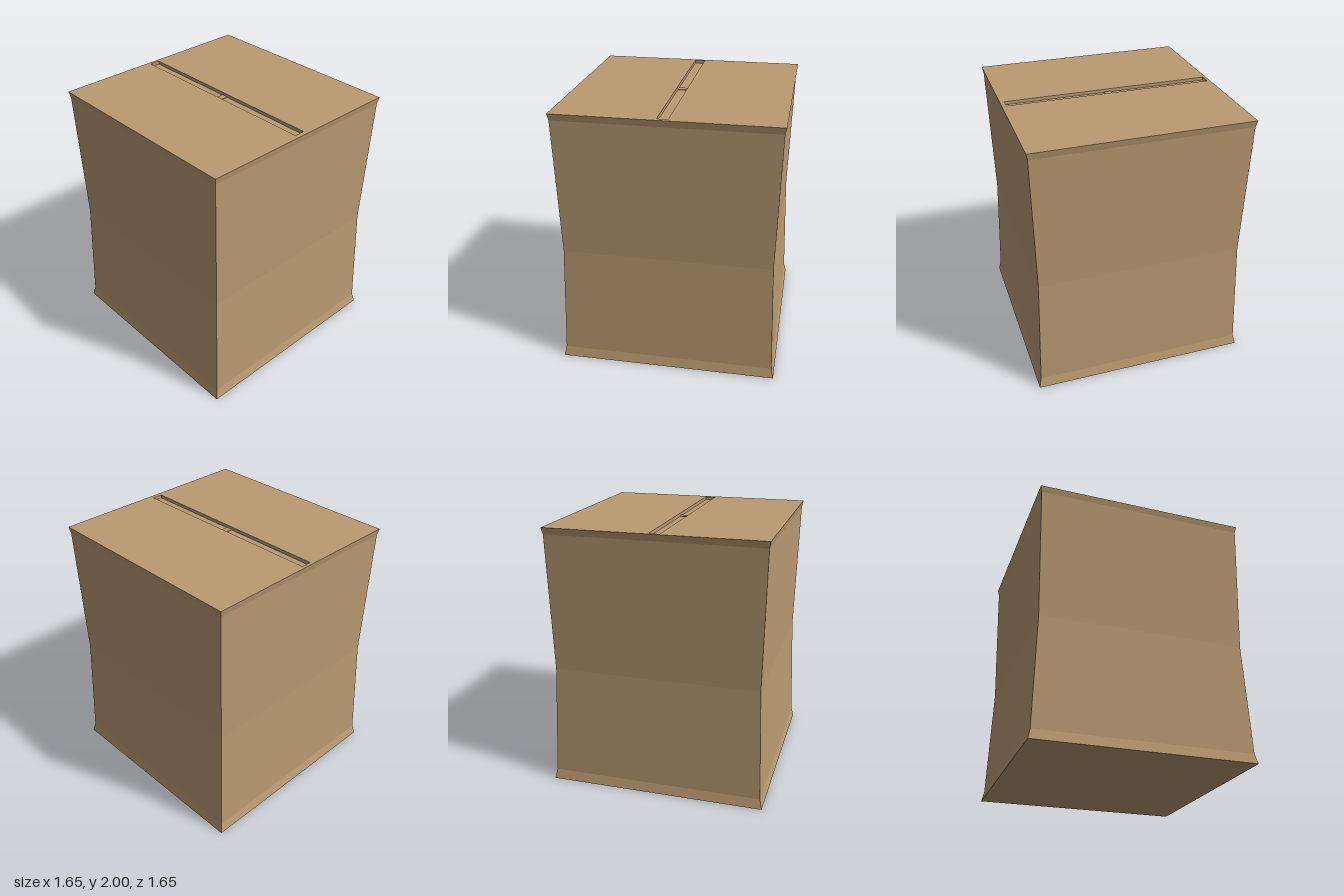
import * as THREE from 'three';

const HEIGHT = 2;
const SLOT = { x0: -0.055, x1: 0.025, z0: -0.79, z1: 0.78 };

// split vertices so every face keeps a hard edge
function faceted(geometry) {
  const flat = geometry.toNonIndexed();
  flat.computeVertexNormals();
  return flat;
}

// four-sided lathe: [half width, height] rows from the base up to the rim
function pinchedBody() {
  const rows = [[0, 0], [0.825, 0], [0.808, 0.075], [0.78, 0.92], [0.805, 1.95], [0.815, HEIGHT]];
  const profile = rows.map(([w, y]) => new THREE.Vector2(w * Math.SQRT2, y));
  return faceted(new THREE.LatheGeometry(profile, 4, Math.PI / 4));
}

// square lid with the seam cut out
function lid() {
  const w = 0.815;
  const { x0, x1, z0, z1 } = SLOT;
  const corners = (a, b, c, d) => [[a, c], [b, c], [b, d], [a, d]].map(([x, y]) => new THREE.Vector2(x, y));
  const shape = new THREE.Shape(corners(-w, w, -w, w));
  shape.holes.push(new THREE.Path(corners(x0, x1, -z1, -z0)));
  return new THREE.ShapeGeometry(shape).rotateX(-Math.PI / 2).translate(0, HEIGHT, 0);
}

// shallow trough below the seam, with a small rise where the lower flaps meet
function trough() {
  const { x0, x1, z0, z1 } = SLOT;
  const floor = [[z0, HEIGHT], [z0, 1.975], [-0.03, 1.975], [-0.03, 1.98],
    [0.02, 1.98], [0.02, 1.975], [z1, 1.975], [z1, HEIGHT]];
  const positions = [];
  const quad = (a, b, c, d) => positions.push(...a, ...b, ...c, ...a, ...c, ...d);
  for (let i = 0; i < floor.length - 1; i++) {
    const [za, ya] = floor[i], [zb, yb] = floor[i + 1];
    quad([x0, ya, za], [x0, yb, zb], [x1, yb, zb], [x1, ya, za]);
    if (za === zb) continue;
    // side walls
    quad([x0, ya, za], [x0, HEIGHT, za], [x0, HEIGHT, zb], [x0, yb, zb]);
    quad([x1, ya, za], [x1, yb, zb], [x1, HEIGHT, zb], [x1, HEIGHT, za]);
  }
  const geometry = new THREE.BufferGeometry();
  geometry.setAttribute('position', new THREE.Float32BufferAttribute(positions, 3));
  geometry.computeVertexNormals();
  return geometry;
}

export function createModel() {
  const cardboard = new THREE.MeshStandardMaterial({ color: 0xba9a72 });
  cardboard.name = 'cardboard';
  const box = new THREE.Group();
  box.name = 'cardboardBox';
  const add = (name, geometry) => {
    const mesh = new THREE.Mesh(geometry, cardboard);
    mesh.name = name;
    box.add(mesh);
  };
  add('boxBody', pinchedBody());
  add('topFlaps', lid());
  add('flapSeam', trough());
  return box;
}
